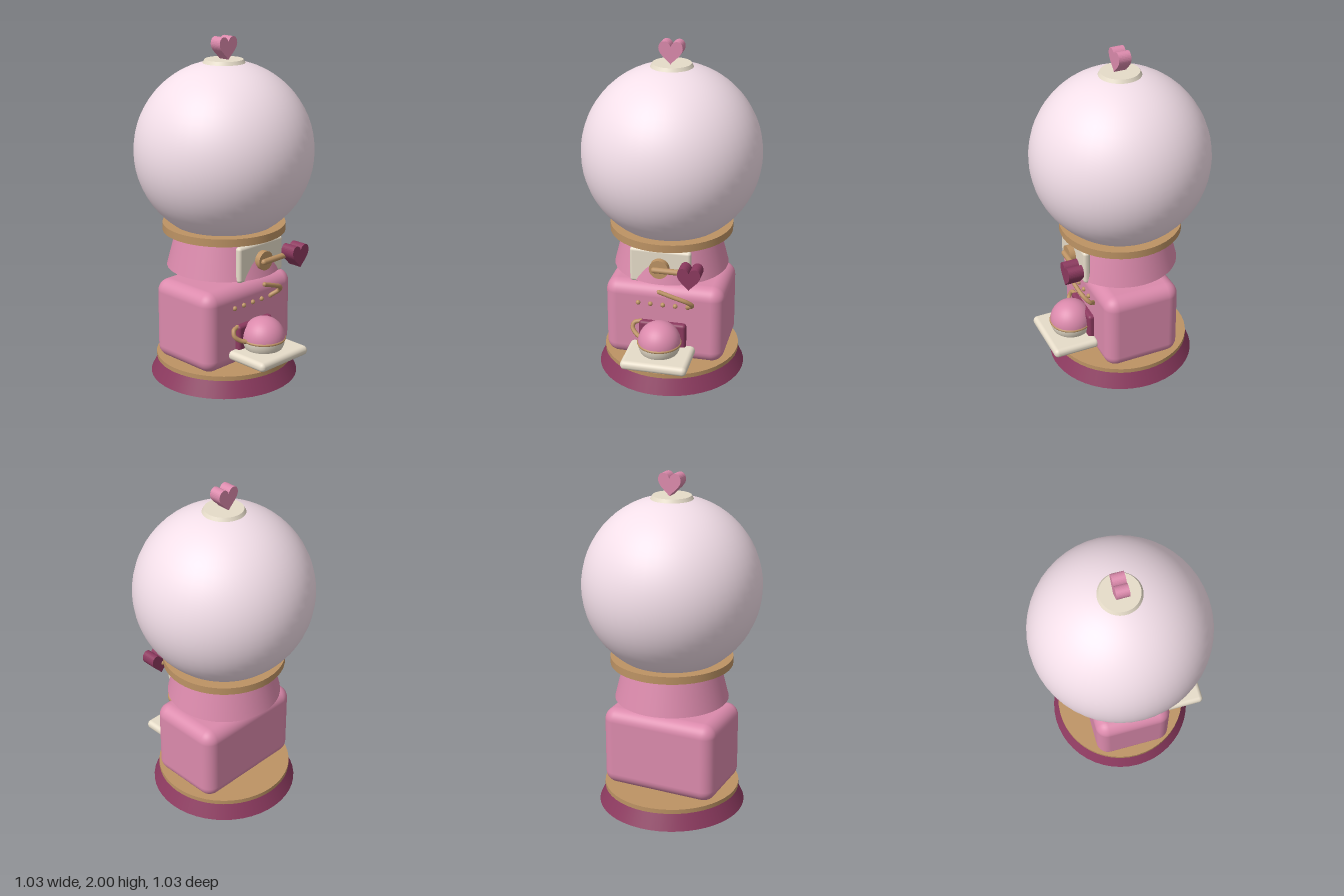
import * as THREE from 'three';
import { RoundedBoxGeometry } from 'three/addons/geometries/RoundedBoxGeometry.js';

const paint = (color) => new THREE.MeshStandardMaterial({ color });

export function createModel() {
  const model = new THREE.Group();
  model.name = 'gumballMachine';
  const pink = paint(0xdb8aac), maroon = paint(0x8c3a5f), gold = paint(0xbd9364);
  const cream = paint(0xe6dcc9), glass = paint(0xf3dfe9);

  function add(name, geometry, material, x = 0, y = 0, z = 0) {
    const mesh = new THREE.Mesh(geometry, material);
    mesh.name = name;
    mesh.position.set(x, y, z);
    model.add(mesh);
    return mesh;
  }

  // Round, optionally tapered part standing between two heights
  function disc(name, material, rTop, rBottom, y0, y1) {
    return add(name, new THREE.CylinderGeometry(rTop, rBottom, y1 - y0, 48), material, 0, (y0 + y1) / 2, 0);
  }

  // Rounded block given by its limits on each axis
  function block(name, material, [x0, x1], [y0, y1], [z0, z1], radius) {
    const geometry = new RoundedBoxGeometry(x1 - x0, y1 - y0, z1 - z0, 5, radius);
    return add(name, geometry, material, (x0 + x1) / 2, (y0 + y1) / 2, (z0 + z1) / 2);
  }

  // Smooth tube with rounded ends
  function wire(name, points, radius) {
    const path = points.map((p) => new THREE.Vector3(...p));
    const curve = new THREE.CatmullRomCurve3(path);
    add(name, new THREE.TubeGeometry(curve, 32, radius, 10), gold);
    for (const p of [points[0], points[points.length - 1]]) {
      add(name + 'End', new THREE.SphereGeometry(radius, 10, 8), gold, ...p);
    }
  }

  // Heart outline, unit wide, centred, extruded along z
  function heart(name, material, width, height, depth, x, y, z) {
    const w = width / 2, h = height / 2;
    const s = new THREE.Shape();
    s.moveTo(0, -h);
    s.bezierCurveTo(w * 0.35, -h * 0.5, w, -h * 0.15, w, h * 0.42);
    s.bezierCurveTo(w, h * 1.18, w * 0.18, h * 1.22, 0, h * 0.55);
    s.bezierCurveTo(-w * 0.18, h * 1.22, -w, h * 1.18, -w, h * 0.42);
    s.bezierCurveTo(-w, -h * 0.15, -w * 0.35, -h * 0.5, 0, -h);
    const geometry = new THREE.ExtrudeGeometry(s, { depth, bevelEnabled: false, curveSegments: 14 });
    geometry.translate(0, 0, -depth / 2);
    return add(name, geometry, material, x, y, z);
  }

  // Foot and main body
  disc('foot', maroon, 0.39, 0.437, 0, 0.097);
  disc('footTrim', gold, 0.403, 0.403, 0.097, 0.124);
  block('body', pink, [-0.354, 0.354], [0.12, 0.604], [-0.233, 0.233], 0.075);

  // Collar, globe and lid
  disc('collar', pink, 0.28, 0.335, 0.67, 0.887);
  disc('collarTrim', gold, 0.358, 0.358, 0.885, 0.93);
  add('globe', new THREE.SphereGeometry(0.517, 48, 32), glass, 0, 1.353, 0);
  disc('lid', cream, 0.11, 0.132, 1.835, 1.875);
  heart('lidHeart', pink, 0.137, 0.127, 0.072, 0, 1.9375, 0);

  // Crank on its backing plate
  block('crankPlate', cream, [-0.178, 0.178], [0.66, 0.87], [0.262, 0.304], 0.018);
  add('crankHub', new THREE.CylinderGeometry(0.056, 0.056, 0.05, 32), gold, 0, 0.765, 0.313).rotation.x = Math.PI / 2;
  add('crankArm', new THREE.CapsuleGeometry(0.017, 0.2, 6, 12), gold, 0.075, 0.765, 0.345).rotation.z = Math.PI / 2;
  heart('crankHeart', maroon, 0.132, 0.13, 0.09, 0.193, 0.767, 0.384);

  // Row of studs and the curled wires on the front
  for (let i = -2; i <= 2; i++) {
    add('stud', new THREE.SphereGeometry(0.014, 14, 10), gold, i * 0.074, 0.488, 0.236);
  }
  wire('spoutWire', [[0, 0.62, 0.328], [0.08, 0.592, 0.322], [0.155, 0.56, 0.305],
    [0.182, 0.525, 0.275], [0.148, 0.492, 0.24]], 0.013);
  wire('cupHandle', [[-0.13, 0.37, 0.24], [-0.168, 0.36, 0.248], [-0.175, 0.33, 0.262],
    [-0.145, 0.302, 0.285], [-0.1, 0.293, 0.315]], 0.013);

  // Dispenser opening, tray and the two-tone ball resting on it
  block('opening', maroon, [-0.14, 0.14], [0.175, 0.38], [0.18, 0.266], 0.018);
  block('tray', cream, [-0.195, 0.195], [0.18, 0.236], [0.22, 0.503], 0.026);
  add('ballTop', new THREE.SphereGeometry(0.125, 32, 12, 0, Math.PI * 2, 0, Math.PI / 2), pink, 0, 0.295, 0.325);
  add('ballBottom', new THREE.SphereGeometry(0.125, 32, 12, 0, Math.PI * 2, Math.PI / 2, Math.PI / 2), cream, 0, 0.295, 0.325);
  add('ballBand', new THREE.TorusGeometry(0.122, 0.008, 8, 40), gold, 0, 0.293, 0.325).rotation.x = Math.PI / 2;

  return model;
}
